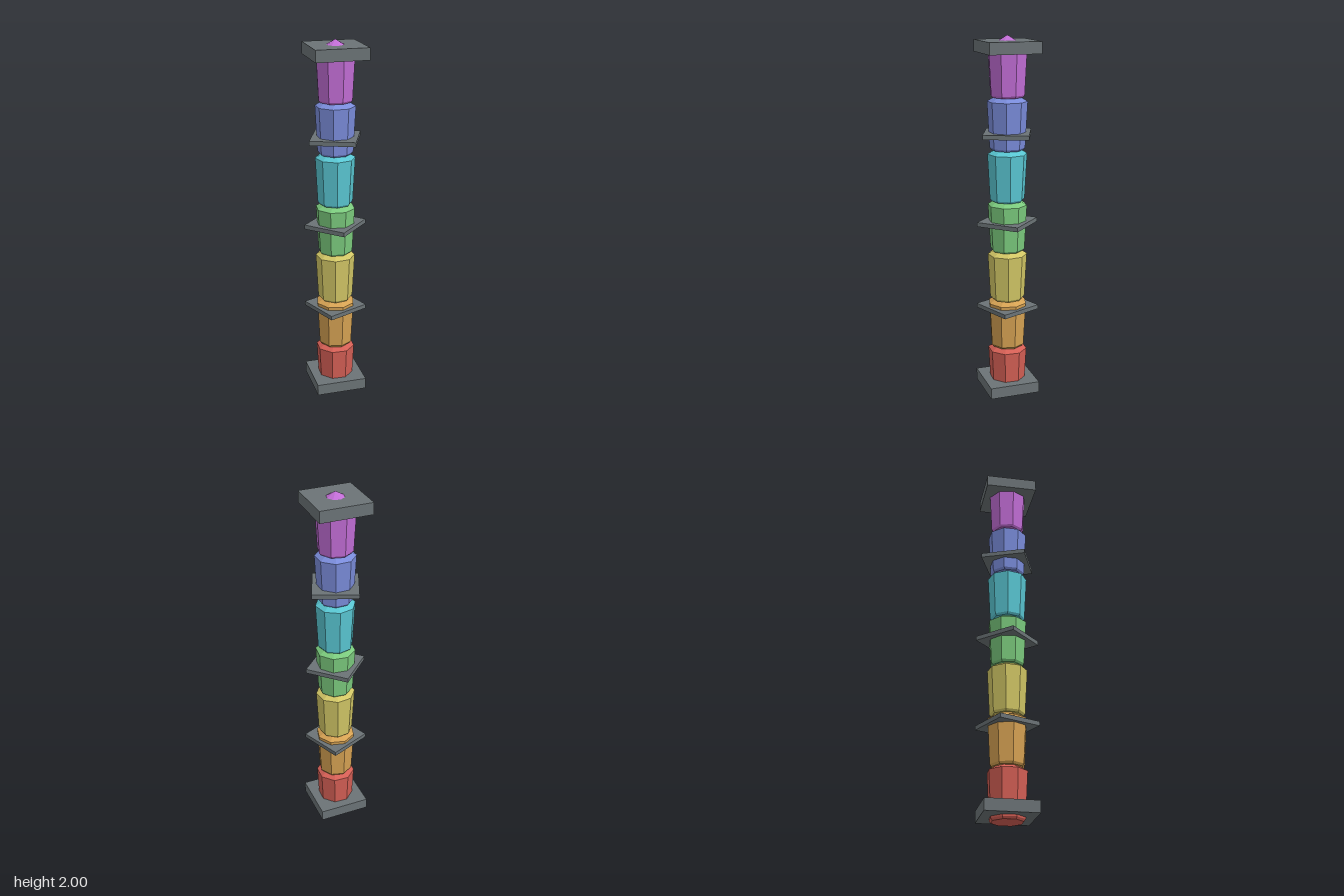
import * as THREE from 'three';

const flat = (name, color, flatShading = false) => {
  const m = new THREE.MeshStandardMaterial({ color, flatShading });
  m.name = name;
  return m;
};

export function createModel() {
  const model = new THREE.Group();
  model.name = 'segmentedColumn';

  const stone = flat('slate', 0x6b7376);
  const colours = [
    ['red', 0xd45f55], ['orange', 0xd6a253], ['yellow', 0xd1c665], ['green', 0x7bca7d],
    ['cyan', 0x59c6d2], ['blue', 0x7a8cda], ['purple', 0xc16dd5],
  ];

  // Faceted crystal: slight flare, sloping shoulder, pointed tip that sinks into the next one
  const profile = [[0, 0], [0.086, 0], [0.095, 0.012], [0.108, 0.258], [0, 0.32]]
    .map(([r, y]) => new THREE.Vector2(r, y));
  const turns = [20, 8, 30, 16, 36, 24, 9]; // degrees about the vertical axis
  colours.forEach(([name, hex], i) => {
    const geo = new THREE.LatheGeometry(profile, 8, THREE.MathUtils.degToRad(turns[i]));
    const crystal = new THREE.Mesh(geo, flat(name, hex, true));
    crystal.name = name + 'Crystal';
    crystal.position.y = i * 0.28;
    model.add(crystal);
  });

  // Square slabs and the thin collars, which turn a further eighth each step
  const plate = (name, size, height, y, turn) => {
    const mesh = new THREE.Mesh(new THREE.BoxGeometry(size, height, size), stone);
    mesh.name = name;
    mesh.position.y = y;
    mesh.rotation.y = turn;
    model.add(mesh);
  };
  plate('baseSlab', 0.283, 0.063, 0.053, 0);
  plate('lowerCollar', 0.244, 0.024, 0.508, Math.PI / 8);
  plate('middleCollar', 0.244, 0.024, 0.998, Math.PI / 4);
  plate('upperCollar', 0.244, 0.024, 1.483, Math.PI * 3 / 8);
  plate('topSlab', 0.283, 0.063, 1.941, 0);

  return model;
}
